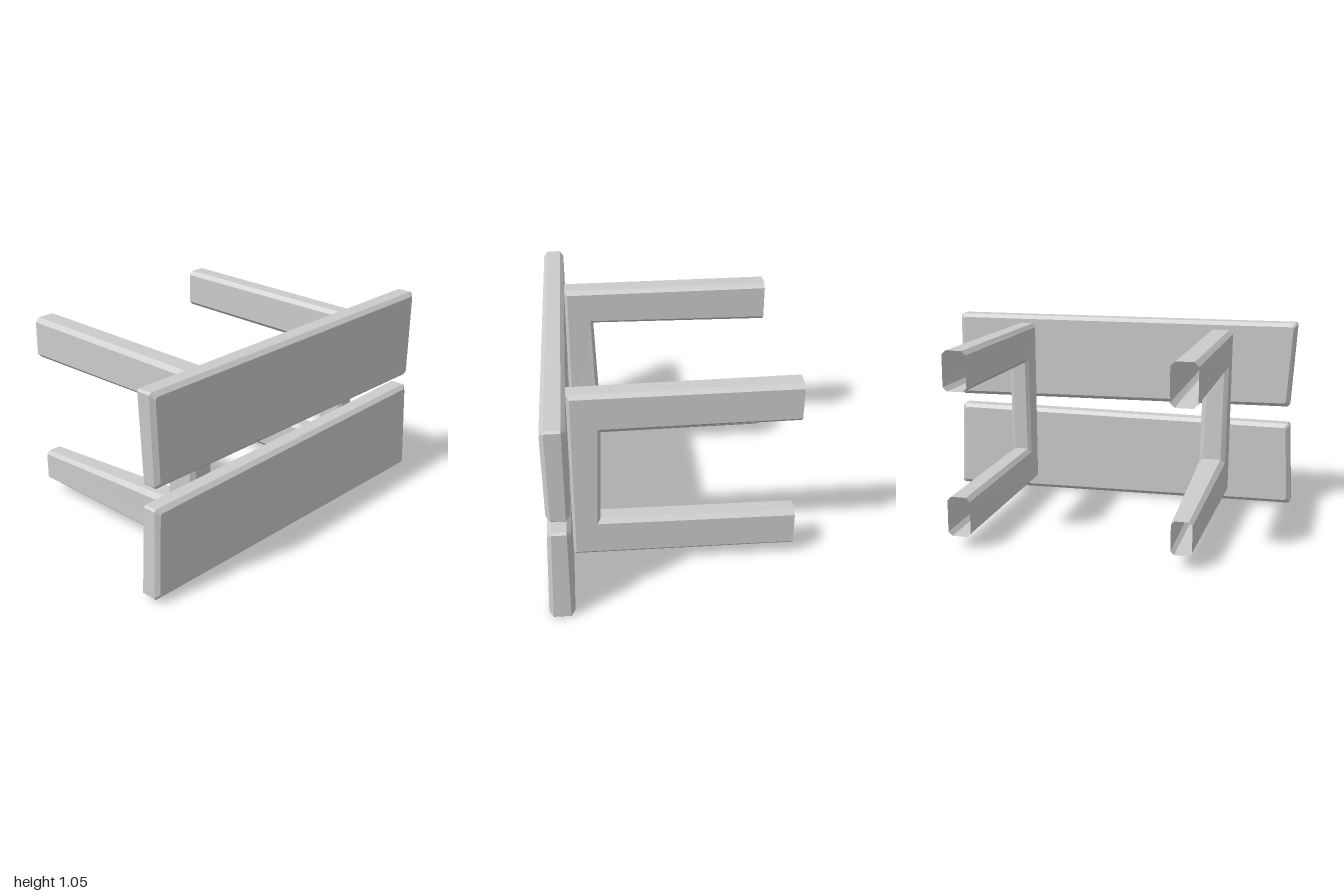
import * as THREE from 'three';

// Skin a series of equal-length closed rings, optionally closing both ends
function loft(rings, capped) {
  const n = rings[0].length, pos = [];
  const tri = (...pts) => pts.forEach(p => pos.push(...p));
  for (let i = 0; i < rings.length - 1; i++) {
    for (let j = 0; j < n; j++) {
      const k = (j + 1) % n, a = rings[i], b = rings[i + 1];
      tri(a[j], a[k], b[k]);
      tri(a[j], b[k], b[j]);
    }
  }
  if (capped) {
    const first = rings[0], last = rings[rings.length - 1];
    for (let j = 1; j < n - 1; j++) {
      tri(first[0], first[j + 1], first[j]);
      tri(last[0], last[j], last[j + 1]);
    }
  }
  const g = new THREE.BufferGeometry();
  g.setAttribute('position', new THREE.Float32BufferAttribute(pos, 3));
  g.computeVertexNormals();
  return g;
}

// Crooked board with bevelled edges; corners are [x, y, front z], counter-clockwise
function plank(corners) {
  const back = 0.5, bevel = 0.02, cut = 0.01;
  const midY = corners.reduce((s, c) => s + c[1], 0) / 4;
  const ring = (inset, zOf) => corners.flatMap(([x, y, zf]) => {
    const sx = Math.sign(x), sy = Math.sign(y - midY);
    const px = x - sx * inset, py = y - sy * inset, z = zOf(zf);
    const side = [px, py - sy * cut, z], edge = [px - sx * cut, py, z];
    return sx === sy ? [side, edge] : [edge, side];
  });
  return loft([
    ring(bevel, () => back),
    ring(0, () => back + bevel),
    ring(0, zf => zf - bevel),
    ring(bevel, zf => zf),
  ], true);
}

// Bevelled section between an outer and inner [z, y] point, x0 to x1 wide
function section({ x: [x0, x1], outer, inner }) {
  const u = 0.17, v = 0.1;
  return [[u, 0], [0, v], [0, 1 - v], [u, 1], [1 - u, 1], [1, 1 - v], [1, v], [1 - u, 0]]
    .map(([s, t]) => [
      THREE.MathUtils.lerp(x0, x1, s),
      THREE.MathUtils.lerp(outer[1], inner[1], t),
      THREE.MathUtils.lerp(outer[0], inner[0], t),
    ]);
}

export function createModel() {
  const model = new THREE.Group();
  model.name = 'plankSign';
  const solid = new THREE.MeshStandardMaterial({ color: 0xcccccc, flatShading: true });
  const open = new THREE.MeshStandardMaterial({ color: 0xcccccc, flatShading: true, side: THREE.DoubleSide });
  const add = (name, geometry, material) => {
    const mesh = new THREE.Mesh(geometry, material);
    mesh.name = name;
    model.add(mesh);
  };

  // Two front boards
  add('upperPlank', plank([
    [-0.975, 0.583, 0.605], [0.985, 0.56, 0.612], [0.982, 1.047, 0.617], [-1, 1.053, 0.612],
  ]), solid);
  add('lowerPlank', plank([
    [-1, 0.02, 0.615], [1, 0, 0.625], [0.987, 0.498, 0.612], [-0.98, 0.482, 0.607],
  ]), solid);

  // Mitred brackets: upper arm, upright post, lower arm, with open rear ends
  const rear = -0.625;
  const brackets = {
    leftBracket: [
      { x: [0.5, 0.625], outer: [rear, 1.016], inner: [rear, 0.812] },
      { x: [0.51, 0.62], outer: [0.5, 1.005], inner: [0.342, 0.797] },
      { x: [0.505, 0.62], outer: [0.5, 0.068], inner: [0.36, 0.28] },
      { x: [0.5, 0.62], outer: [rear, 0.065], inner: [rear, 0.272] },
    ],
    rightBracket: [
      { x: [-0.645, -0.51], outer: [rear, 1.012], inner: [rear, 0.793] },
      { x: [-0.65, -0.51], outer: [0.5, 1.005], inner: [0.345, 0.805] },
      { x: [-0.645, -0.5], outer: [0.5, 0.068], inner: [0.325, 0.3] },
      { x: [-0.63, -0.525], outer: [rear, 0.07], inner: [rear, 0.24] },
    ],
  };
  for (const [name, stations] of Object.entries(brackets)) {
    add(name, loft(stations.map(section), false), open);
  }
  return model;
}
